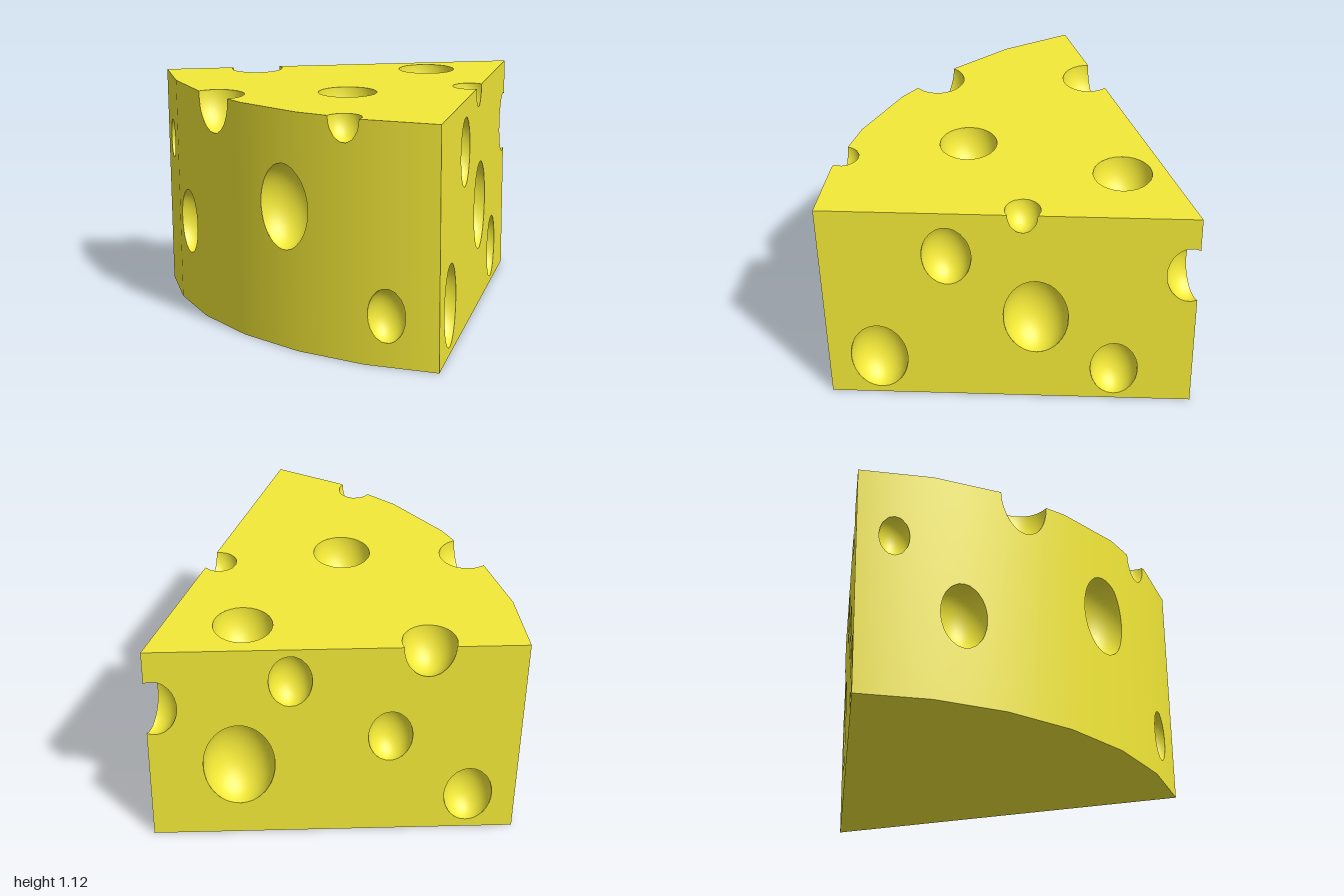
import * as THREE from 'three';

const V = (x, y, z) => new THREE.Vector3(x, y, z);
const H = 1.125, R = 1.8, APEX_Z = -0.9, STRETCH = 1.41, SEGMENTS = 6;
const HALF_ANGLE = Math.atan(1 / 1.49);

// Wedge outline: the tip, then the faceted rind from right to left
const outline = [V(0, 0, APEX_Z)];
for (let i = 0; i <= SEGMENTS; i++) {
  const a = HALF_ANGLE * (2 * i / SEGMENTS - 1);
  outline.push(V(R * Math.sin(a), 0, APEX_Z + R * Math.cos(a)));
}

// Holes are upright ellipsoids: centre and horizontal radius
const sideX = z => (z - APEX_Z) / 1.49;
const rindZ = x => {
  const i = outline.findIndex((p, n) => n > 1 && p.x >= x);
  const a = outline[i - 1], b = outline[i];
  return a.z + (b.z - a.z) * (x - a.x) / (b.x - a.x);
};
const holes = [
  // top face
  [-0.09, H, -0.395, 0.142], [0.14, H, 0.36, 0.14],
  // notches along the top edges
  [-0.235, H, 0.855, 0.132], [0.59, H, 0.785, 0.082],
  [-0.705, H, 0.235, 0.13], [0.425, H, -0.185, 0.085],
  // notch in the tip
  [0, 0.797, -0.855, 0.115],
  // rind
  ...[[0.27, 0.675, 0.144], [-0.55, 0.435, 0.114], [-0.85, 0.795, 0.071], [0.785, 0.24, 0.09]]
    .map(([x, y, r]) => [x, y, rindZ(x), r]),
  // left cut face
  ...[[0.385, 0.235, 0.141], [0.09, 0.875, 0.118], [-0.26, 0.515, 0.158], [-0.58, 0.195, 0.117]]
    .map(([z, y, r]) => [sideX(z), y, z, r]),
  // right cut face
  ...[[-0.33, 0.94, 0.104], [0.07, 0.597, 0.107], [0.4, 0.214, 0.119], [-0.538, 0.436, 0.175]]
    .map(([z, y, r]) => [-sideX(z), y, z, r]),
].map(([x, y, z, r]) => ({ c: V(x, y, z), r }));

// Positive outside the hole
const outsideHole = ({ c, r }) => p =>
  Math.hypot(p.x - c.x, (p.y - c.y) / STRETCH, p.z - c.z) - r;

// Positive inside each flat boundary of the wedge
const walls = outline.map((a, i) => {
  const b = outline[(i + 1) % outline.length];
  const n = V(a.z - b.z, 0, b.x - a.x).normalize();
  return { a, b, n, inside: p => -n.dot(p.clone().sub(a)) };
});
const wallTests = walls.map(w => w.inside);

// Keep the part of a polygon where f >= 0
function clip(poly, f) {
  const d = poly.map(f);
  if (d.every(v => v >= 0)) return poly;
  if (d.every(v => v <= 0)) return [];
  const out = [];
  poly.forEach((p, i) => {
    const j = (i + 1) % poly.length, q = poly[j];
    if (d[i] >= 0) out.push(p);
    if ((d[i] >= 0) !== (d[j] >= 0)) {
      let lo = 0, hi = 1;
      for (let k = 0; k < 22; k++) {
        const mid = (lo + hi) / 2;
        if ((f(p.clone().lerp(q, mid)) >= 0) === (d[i] >= 0)) lo = mid; else hi = mid;
      }
      out.push(p.clone().lerp(q, lo));
    }
  });
  return out;
}

// Triangulate clipped polygons, facing along the given normal rule
function buildMesh(name, polys, normalAt, tests, material) {
  const pos = [], nor = [];
  for (let poly of polys) {
    for (const f of tests) if (poly.length) poly = clip(poly, f);
    for (let i = 1; i + 1 < poly.length; i++) {
      let t = [poly[0], poly[i], poly[i + 1]];
      const n = t[1].clone().sub(t[0]).cross(t[2].clone().sub(t[0]));
      if (n.lengthSq() < 1e-18) continue;
      if (n.dot(normalAt(t[0])) < 0) t = [t[0], t[2], t[1]];
      for (const p of t) {
        pos.push(p.x, p.y, p.z);
        nor.push(...normalAt(p).toArray());
      }
    }
  }
  const g = new THREE.BufferGeometry();
  g.setAttribute('position', new THREE.Float32BufferAttribute(pos, 3));
  g.setAttribute('normal', new THREE.Float32BufferAttribute(nor, 3));
  const mesh = new THREE.Mesh(g, material);
  mesh.name = name;
  return mesh;
}

// Rectangular grid of quads spanned by two edge vectors
function grid(origin, u, v, step = 0.03) {
  const nu = Math.ceil(u.length() / step), nv = Math.ceil(v.length() / step), quads = [];
  const at = (i, j) => origin.clone().addScaledVector(u, i / nu).addScaledVector(v, j / nv);
  for (let i = 0; i < nu; i++)
    for (let j = 0; j < nv; j++)
      quads.push([at(i, j), at(i + 1, j), at(i + 1, j + 1), at(i, j + 1)]);
  return quads;
}

export function createModel() {
  const group = new THREE.Group();
  group.name = 'cheeseWedge';
  const material = new THREE.MeshStandardMaterial({ color: 0xf4ea38 });
  const holeTests = holes.map(outsideHole);
  const add = (name, polys, normalAt, tests) =>
    group.add(buildMesh(name, polys, normalAt, tests, material));

  // Top and bottom
  add('topFace', grid(V(-1.01, H, -0.91), V(2.02, 0, 0), V(0, 0, 1.82)),
    () => V(0, 1, 0), [...wallTests, ...holeTests]);
  add('bottomFace', [outline], () => V(0, -1, 0), []);

  // Two flat cut faces and the smooth-shaded rind
  const wallGrid = w => grid(w.a, w.b.clone().sub(w.a), V(0, H, 0));
  const last = walls.length - 1;
  add('rightCutFace', wallGrid(walls[0]), () => walls[0].n, holeTests);
  add('leftCutFace', wallGrid(walls[last]), () => walls[last].n, holeTests);
  add('rind', walls.slice(1, last).flatMap(wallGrid),
    p => V(p.x, 0, p.z - APEX_Z).normalize(), holeTests);

  // Hollow inside of each hole, trimmed to the wedge
  const inside = [...wallTests, p => H - p.y, p => p.y];
  for (const { c, r } of holes) {
    const s = new THREE.SphereGeometry(r, 36, 24).scale(1, STRETCH, 1)
      .translate(c.x, c.y, c.z).toNonIndexed().attributes.position;
    const tris = [];
    for (let i = 0; i < s.count; i += 3)
      tris.push([0, 1, 2].map(k => new THREE.Vector3().fromBufferAttribute(s, i + k)));
    add('hole', tris,
      p => V(c.x - p.x, (c.y - p.y) / STRETCH ** 2, c.z - p.z).normalize(), inside);
  }
  return group;
}
